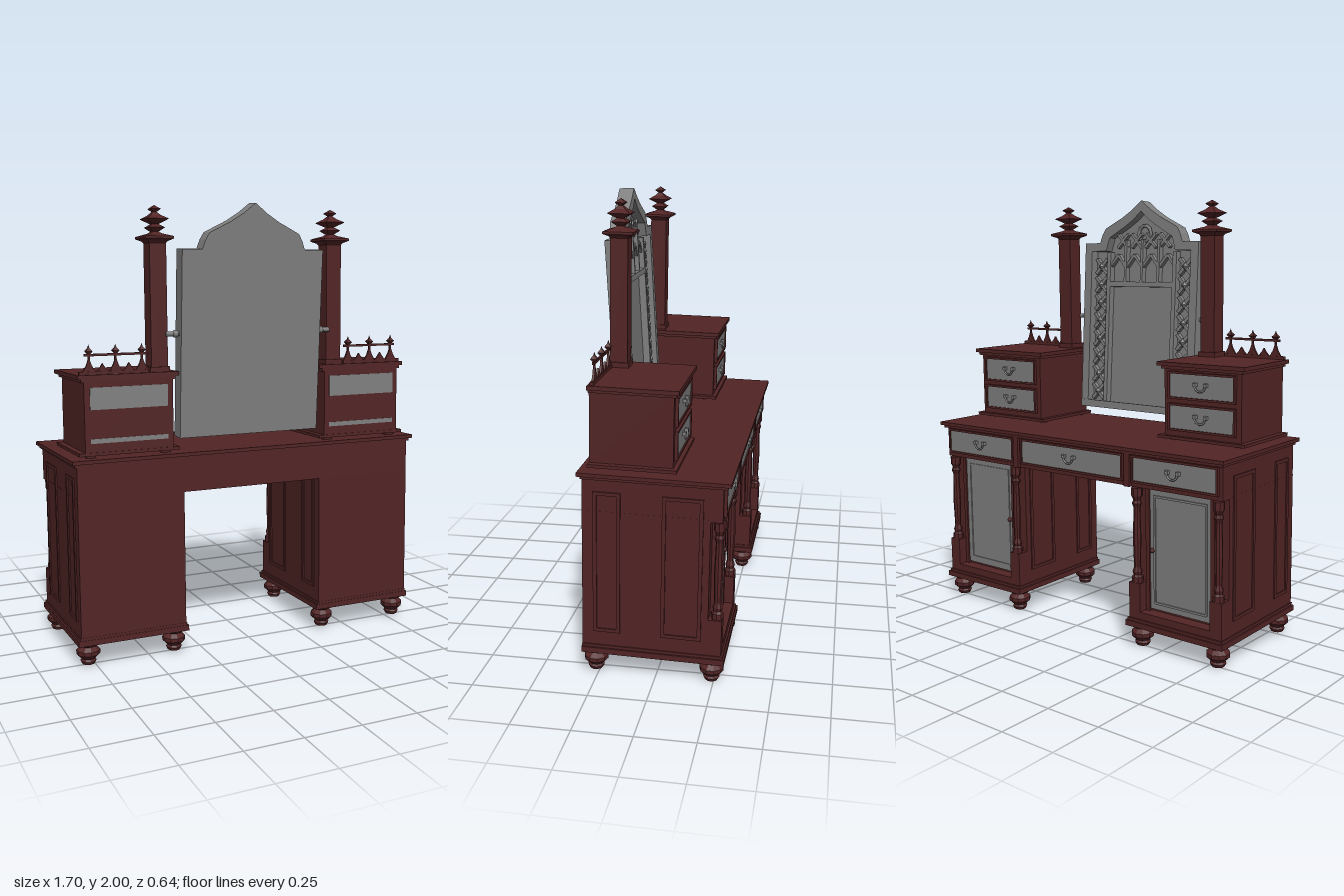
import * as THREE from 'three';

const wood = new THREE.MeshStandardMaterial({ color: 0x522425 });
wood.name = 'dark red wood';
const grey = new THREE.MeshStandardMaterial({ color: 0x808080 });
grey.name = 'plain grey';

function add(parent, name, geo, mat, x = 0, y = 0, z = 0) {
  const m = new THREE.Mesh(geo, mat);
  m.name = name;
  m.position.set(x, y, z);
  parent.add(m);
  return m;
}

// Box given by its centre x, width, and y and z ranges
function box(parent, name, mat, x, w, y0, y1, z0, z1) {
  return add(parent, name, new THREE.BoxGeometry(w, y1 - y0, z1 - z0), mat, x, (y0 + y1) / 2, (z0 + z1) / 2);
}

// Turned part with few sides; profile is [radius, height] pairs
function turned(parent, name, mat, profile, sides, x, y, z) {
  const lathe = new THREE.LatheGeometry(profile.map(p => new THREE.Vector2(...p)), sides, sides === 4 ? Math.PI / 4 : 0);
  const geo = lathe.toNonIndexed();
  geo.computeVertexNormals();
  return add(parent, name, geo, mat, x, y, z);
}

// Drop handle on a face looking towards -z
function handle(parent, x, y, z) {
  const ring = add(parent, 'drawerHandle', new THREE.TorusGeometry(0.028, 0.005, 5, 8, Math.PI), grey, x, y, z - 0.012);
  ring.rotation.z = Math.PI;
  for (const s of [-1, 1]) box(parent, 'handleMount', grey, x + s * 0.028, 0.016, y - 0.006, y + 0.01, z - 0.016, z);
}

// Grey drawer front with a thin wooden lip around it
function drawer(parent, x, w, y0, y1, z) {
  box(parent, 'drawerFront', grey, x, w, y0, y1, z - 0.008, z);
  for (const s of [-1, 1]) box(parent, 'drawerLip', wood, x + s * (w / 2 + 0.005), 0.01, y0 - 0.01, y1 + 0.01, z - 0.014, z);
  box(parent, 'drawerLip', wood, x, w, y0 - 0.01, y0, z - 0.014, z);
  box(parent, 'drawerLip', wood, x, w, y1, y1 + 0.01, z - 0.014, z);
  handle(parent, x, (y0 + y1) / 2 + 0.008, z - 0.008);
}

// Narrow moulding around a tall panel on a pedestal side
function sidePanel(parent, x, z0, z1) {
  for (const z of [z0, z1]) box(parent, 'panelMoulding', wood, x, 0.012, 0.2, 0.83, z - 0.008, z + 0.008);
  for (const y of [0.2, 0.815]) box(parent, 'panelMoulding', wood, x, 0.012, y, y + 0.015, z0, z1);
}

const FOOT = [[0, 0], [0.028, 0], [0.036, 0.015], [0.03, 0.024], [0.052, 0.045], [0.052, 0.062], [0.034, 0.08], [0.048, 0.088], [0.048, 0.1]];
const COLUMN = [[0, 0], [0.026, 0], [0.026, 0.025], [0.018, 0.035], [0.022, 0.05], [0.015, 0.07], [0.019, 0.2],
  [0.015, 0.34], [0.022, 0.36], [0.016, 0.375], [0.025, 0.395], [0.025, 0.43], [0, 0.43]];
const FINIAL = [[0.05, 0], [0.062, 0.012], [0.092, 0.022], [0.092, 0.032], [0.035, 0.045], [0.02, 0.052], [0.05, 0.07], [0.02, 0.084],
  [0.07, 0.106], [0.032, 0.122], [0.012, 0.136], [0.032, 0.148], [0, 0.165]];
const SPIKE = [[0.012, 0], [0.006, 0.012], [0.006, 0.085], [0.02, 0.1], [0.006, 0.112], [0, 0.128]];

function pedestal(parent, s) {
  const g = new THREE.Group();
  g.name = s > 0 ? 'leftPedestal' : 'rightPedestal';
  parent.add(g);
  const c = s * 0.583;
  box(g, 'pedestalBody', wood, c, 0.485, 0.125, 0.745, -0.222, 0.315);
  box(g, 'plinth', wood, c, 0.51, 0.1, 0.125, -0.295, 0.318);
  box(g, 'plinthMoulding', wood, c, 0.495, 0.125, 0.137, -0.288, 0.316);
  box(g, 'lowerRail', wood, c, 0.485, 0.13, 0.17, -0.28, -0.222);
  // Door
  box(g, 'doorPanel', grey, c, 0.33, 0.18, 0.725, -0.23, -0.222);
  for (const e of [-1, 1]) {
    box(g, 'doorFrame', wood, c + e * 0.17, 0.02, 0.17, 0.735, -0.238, -0.222);
    box(g, 'doorBead', grey, c + e * 0.135, 0.01, 0.21, 0.7, -0.235, -0.228);
    // Corner columns on blocks
    box(g, 'columnBlock', wood, c + e * 0.213, 0.06, 0.137, 0.3, -0.28, -0.222);
    turned(g, 'column', wood, COLUMN, 8, c + e * 0.213, 0.3, -0.257);
    sidePanel(g, c + e * 0.2425, 0.16, 0.26);
    sidePanel(g, c + e * 0.2425, -0.185, -0.03);
    for (const z of [0.265, -0.238]) turned(g, 'foot', wood, FOOT, 10, c + e * 0.2, 0.006, z);
  }
  for (const y of [0.205, 0.69]) box(g, 'doorBead', grey, c, 0.27, y, y + 0.01, -0.235, -0.228);
  add(g, 'doorKnob', new THREE.SphereGeometry(0.012, 6, 5), wood, c - s * 0.145, 0.45, -0.238);
}

function drawerTower(parent, s) {
  const g = new THREE.Group();
  g.name = s > 0 ? 'leftDrawerTower' : 'rightDrawerTower';
  parent.add(g);
  const c = s * 0.579;
  box(g, 'towerBody', wood, c, 0.4, 0.935, 1.245, -0.056, 0.294);
  box(g, 'towerBase', wood, c, 0.455, 0.923, 0.937, -0.075, 0.297);
  box(g, 'towerCornice', wood, c, 0.425, 1.236, 1.25, -0.068, 0.295);
  box(g, 'towerTop', wood, c, 0.455, 1.25, 1.268, -0.08, 0.297);
  for (const e of [-1, 1]) for (const z of [-0.03, 0.25]) box(g, 'towerPad', wood, c + e * 0.17, 0.04, 0.908, 0.925, z, z + 0.03);
  drawer(g, c, 0.33, 0.972, 1.075, -0.056);
  drawer(g, c, 0.33, 1.115, 1.218, -0.056);
  box(g, 'backOpening', grey, c, 0.35, 1.12, 1.215, 0.292, 0.297);
  box(g, 'backSlot', grey, c, 0.35, 0.976, 0.996, 0.292, 0.297);

  // Mirror post with stacked square finial
  const px = s * 0.433;
  box(g, 'mirrorPost', wood, px, 0.076, 1.268, 1.83, 0.205, 0.281);
  box(g, 'postFoot', wood, px, 0.09, 1.268, 1.29, 0.198, 0.288);
  turned(g, 'finial', wood, FINIAL, 4, px, 1.815, 0.243);

  // Pierced gallery rail
  const z = 0.278;
  box(g, 'galleryBase', wood, s * 0.64, 0.31, 1.268, 1.282, z - 0.008, z + 0.008);
  box(g, 'galleryBar', wood, s * 0.63, 0.28, 1.346, 1.356, z - 0.005, z + 0.005);
  for (let i = 0; i < 3; i++) turned(g, 'gallerySpike', wood, SPIKE, 4, s * (0.514 + i * 0.118), 1.268, z);
  for (let i = 0; i < 5; i++) {
    const x = s * (0.514 + i * 0.059), h = i % 2 ? 0.035 : 0.06;
    const tri = new THREE.Shape([[-0.028, 0], [0.028, 0], [0.012, h * 0.45], [0, h], [-0.012, h * 0.45]].map(p => new THREE.Vector2(...p)));
    add(g, 'galleryPoint', new THREE.ExtrudeGeometry(tri, { depth: 0.01, bevelEnabled: false }), wood, x, 1.28, z - 0.005);
  }
}

// Symmetric outline from its right half, listed bottom to top
function outline(half, Type) {
  const left = half.filter(p => p[0] > 0).reverse().map(([x, y]) => [-x, y]);
  return new Type([...half, ...left].map(p => new THREE.Vector2(...p)));
}

function mirrorFrame(parent) {
  const g = new THREE.Group();
  g.name = 'mirror';
  g.position.set(0, 0.975, 0.26);
  g.rotation.x = 0.048;
  parent.add(g);
  const outer = [[0.343, 0], [0.343, 0.825], [0.25, 0.825], [0.235, 0.865], [0.217, 0.895], [0.115, 0.945], [0.055, 0.982], [0, 1.025]];
  const inner = [[0.3, 0.03], [0.3, 0.785], [0.21, 0.785], [0.19, 0.85], [0.1, 0.9], [0.045, 0.935], [0, 0.975]];
  const extrude = (shape, depth) => new THREE.ExtrudeGeometry(shape, { depth, bevelEnabled: false });
  add(g, 'mirrorBack', extrude(outline(outer, THREE.Shape), 0.022), grey, 0, 0, -0.022);
  const rim = outline(outer, THREE.Shape);
  rim.holes.push(outline(inner, THREE.Path));
  add(g, 'mirrorRim', extrude(rim, 0.048), grey, 0, 0, -0.068);
  box(g, 'mirrorSill', grey, 0, 0.68, 0, 0.035, -0.072, -0.06);

  // Frame around the glass
  for (const s of [-1, 1]) {
    box(g, 'glassFrame', grey, s * 0.2, 0.022, 0.03, 0.78, -0.055, -0.02);
    // Carved strip of crossed leaves
    for (let i = 0; i < 8; i++) {
      const y = 0.08 + i * 0.09;
      for (const e of [-1, 1]) {
        const leaf = box(g, 'carvedLeaf', grey, s * 0.255, 0.016, y - 0.05, y + 0.05, -0.045, -0.02);
        leaf.rotation.z = e * 0.75;
      }
      const boss = add(g, 'carvedBoss', new THREE.OctahedronGeometry(0.022), grey, s * 0.255, y, -0.042);
      boss.scale.z = 0.7;
    }
    // Pivot pins
    const pin = add(g, 'pivotPin', new THREE.CylinderGeometry(0.011, 0.011, 0.07, 8), grey, s * 0.37, 0.46, -0.03);
    pin.rotation.z = Math.PI / 2;
    add(g, 'pivotKnob', new THREE.SphereGeometry(0.017, 8, 6), grey, s * 0.36, 0.46, -0.03);
  }
  box(g, 'glassHeader', grey, 0, 0.4, 0.61, 0.635, -0.055, -0.02);

  // Pointed tracery above the glass
  for (let i = 0; i < 4; i++) {
    const x = -0.15 + i * 0.1;
    if (i) box(g, 'traceryBar', grey, x - 0.05, 0.014, 0.63, 0.84, -0.05, -0.02);
    for (const e of [-1, 1]) {
      const arm = box(g, 'traceryArch', grey, x + e * 0.024, 0.014, 0.7, 0.775, -0.046, -0.02);
      arm.rotation.z = e * 0.7;
      const top = box(g, 'traceryCross', grey, x * 0.85, 0.014, 0.79, 0.88, -0.042, -0.02);
      top.rotation.z = e * 0.75;
    }
  }
  add(g, 'traceryRing', new THREE.TorusGeometry(0.038, 0.009, 5, 10), grey, 0, 0.87, -0.03);
}

export function createModel() {
  const model = new THREE.Group();
  model.name = 'dressingTable';

  // The cabinet leans forward very slightly
  const cabinet = new THREE.Group();
  cabinet.name = 'cabinet';
  cabinet.rotation.x = -0.021;
  model.add(cabinet);

  // Drawer carcass and tabletop
  box(cabinet, 'drawerCarcass', wood, 0, 1.65, 0.735, 0.885, -0.272, 0.315);
  box(cabinet, 'topMoulding', wood, 0, 1.67, 0.882, 0.896, -0.29, 0.32);
  box(cabinet, 'tableTop', wood, 0, 1.696, 0.896, 0.912, -0.305, 0.333);
  for (const x of [-0.583, 0, 0.583]) drawer(cabinet, x, x ? 0.43 : 0.6, 0.765, 0.868, -0.272);
  for (const s of [-1, 1]) {
    box(cabinet, 'drawerDivider', wood, s * 0.337, 0.03, 0.735, 0.885, -0.288, -0.27);
    pedestal(cabinet, s);
    drawerTower(cabinet, s);
  }
  mirrorFrame(model);
  return model;
}
